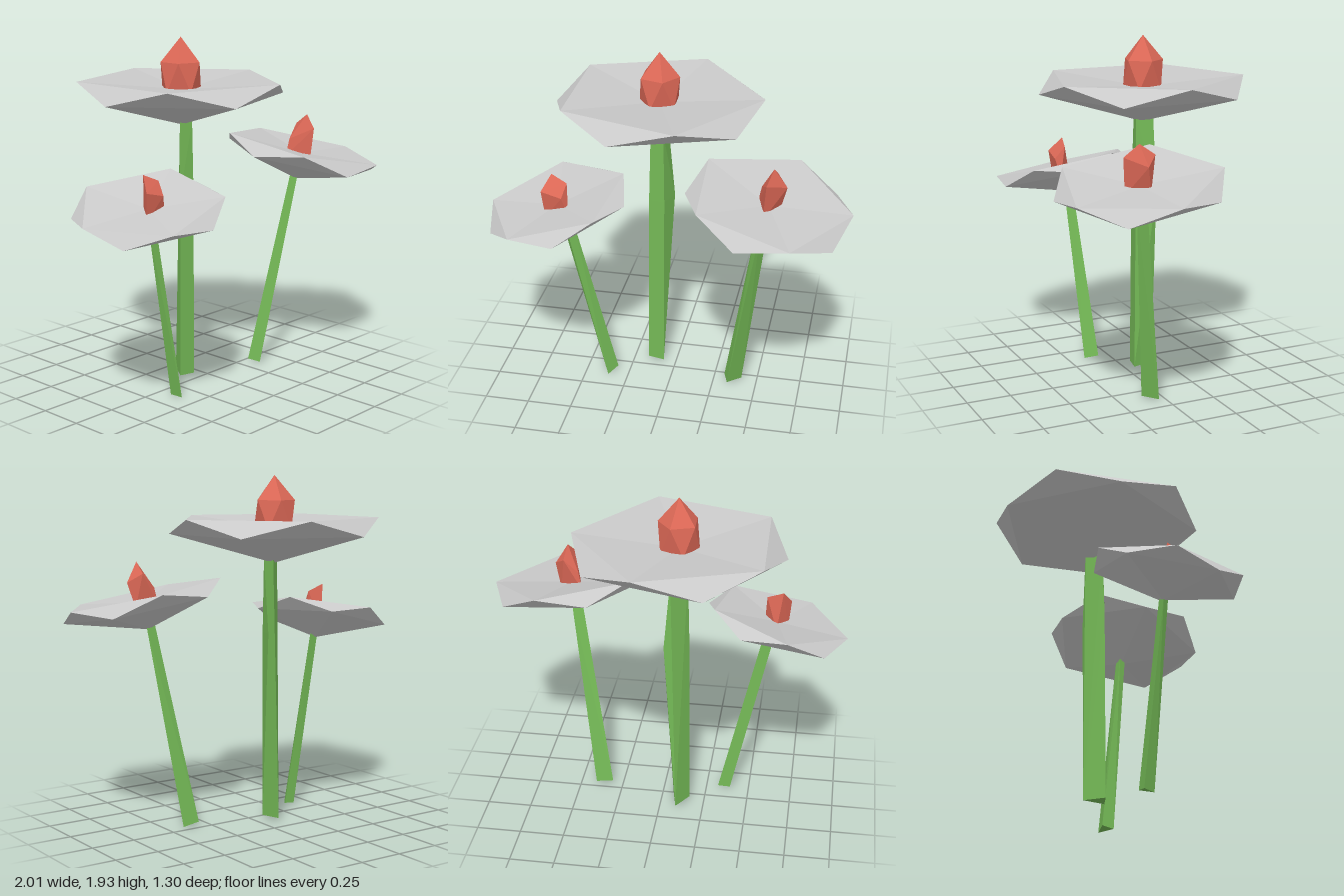
import * as THREE from 'three';
import { ConvexGeometry } from 'three/addons/geometries/ConvexGeometry.js';

const mat = (name, color) => {
  const m = new THREE.MeshStandardMaterial({ color, flatShading: true });
  m.name = name;
  return m;
};

const V = (x, y, z) => new THREE.Vector3(x, y, z);

// five points around a vertical axis
const ring = (r, y, deg) => Array.from({ length: 5 }, (_, i) => {
  const a = THREE.MathUtils.degToRad(deg + i * 72);
  return V(r * Math.cos(a), y, r * Math.sin(a));
});

// faceted bowl: shallow inner cone, zigzag rim, pointed underside
function bowlGeometry(r, deg) {
  const k = r / 0.575;
  const up = ring(r, 0, deg), low = ring(r, -0.09 * k, deg + 36);
  const inner = V(0, -0.055 * k, 0), bottom = V(0, -0.25 * k, 0);
  const pts = [];
  for (let i = 0; i < 5; i++) {
    const j = (i + 1) % 5;
    pts.push(inner, up[j], up[i]);
    pts.push(up[i], up[j], low[i]);
    pts.push(up[j], low[j], low[i]);
    pts.push(bottom, low[i], low[j]);
  }
  const g = new THREE.BufferGeometry().setFromPoints(pts);
  g.computeVertexNormals();
  return g;
}

const hull = (points) => new ConvexGeometry(points.map((p) => V(...p)));

export function createModel() {
  const petal = mat('petalGrey', 0xc9c9c9);
  const stem = mat('stemGreen', 0x74b956);
  const bud = mat('budRed', 0xdc6856);

  const flowers = [
    {
      name: 'middleFlower', centre: [-0.1, 1.705, -0.1], normal: [0, 1, 0], r: 0.575, deg: -1,
      stem: [
        [-0.07, 0.015, -0.04], [-0.165, 0.02, -0.055], [-0.095, 0.02, -0.16],
        [-0.065, 1.07, -0.045], [-0.155, 1.07, -0.06], [-0.025, 1.07, -0.155],
        [-0.07, 1.48, -0.05], [-0.145, 1.48, -0.07], [-0.06, 1.48, -0.15],
      ],
      bud: [
        [-0.1, 1.935, -0.105],
        ...[[1.8, -1], [1.64, 35]].flatMap(([y, d]) =>
          ring(0.112, y, d).map((p) => [p.x - 0.1, p.y, p.z - 0.105])),
      ],
    },
    {
      name: 'rightFlower', centre: [-0.63, 1.145, 0.17], normal: [-0.23, 1, 0.13], r: 0.4, deg: 45,
      stem: [
        [-0.39, 0.01, 0.09], [-0.365, 0, 0.15], [-0.32, 0.02, 0.08],
        [-0.605, 1.0, 0.15], [-0.58, 1.0, 0.18], [-0.545, 1.0, 0.14],
      ],
      bud: [
        [-0.68, 1.05, 0.21], [-0.55, 1.08, 0.21], [-0.62, 1.07, 0.13],
        [-0.695, 1.21, 0.23], [-0.58, 1.18, 0.235], [-0.65, 1.29, 0.16], [-0.56, 1.25, 0.18],
      ],
    },
    {
      name: 'leftFlower', centre: [0.556, 1.29, 0.23], normal: [0.16, 1, 0.137], r: 0.445, deg: -3,
      stem: [
        [0.31, 0.02, 0.04], [0.335, 0.01, 0.11], [0.41, 0.005, 0.04],
        [0.49, 1.12, 0.19], [0.515, 1.12, 0.225], [0.55, 1.12, 0.18],
      ],
      bud: [
        [0.575, 1.47, 0.24],
        [0.645, 1.36, 0.22], [0.545, 1.4, 0.315], [0.505, 1.33, 0.17], [0.585, 1.41, 0.155],
        [0.61, 1.22, 0.19], [0.53, 1.2, 0.3], [0.485, 1.23, 0.16],
      ],
    },
  ];

  const model = new THREE.Group();
  model.name = 'flowers';
  for (const f of flowers) {
    const group = new THREE.Group();
    group.name = f.name;

    const bowl = new THREE.Mesh(bowlGeometry(f.r, f.deg), petal);
    bowl.name = 'petalBowl';
    bowl.position.set(...f.centre);
    bowl.quaternion.setFromUnitVectors(V(0, 1, 0), V(...f.normal).normalize());

    const stalk = new THREE.Mesh(hull(f.stem), stem);
    stalk.name = 'stem';

    const middle = new THREE.Mesh(hull(f.bud), bud);
    middle.name = 'bud';

    group.add(bowl, stalk, middle);
    model.add(group);
  }
  return model;
}
